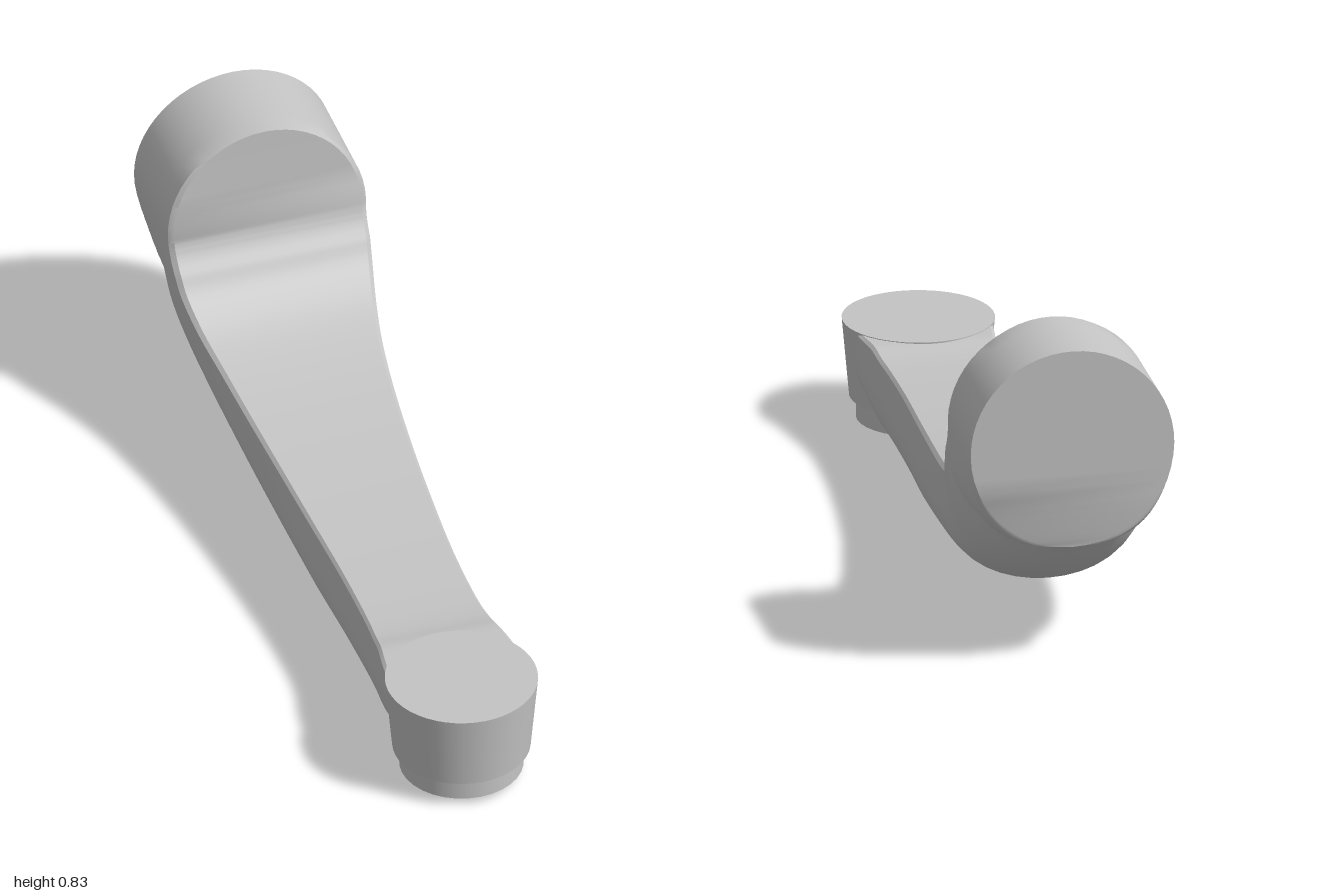
import * as THREE from 'three';
import { toCreasedNormals } from 'three/addons/utils/BufferGeometryUtils.js';

const R = 0.255, DISC_Y = 0.58, HEAD_Z = 0.81;

// Each station joins an inner (upper) edge point to an outer (lower) one:
// half-width, y, z for both edges, plus the squareness of the section
function makeStations() {
  const stations = [];
  const add = (inner, outer, p) => stations.push({ inner, outer, p });
  const V = (x, y, z) => new THREE.Vector3(x, y, z);

  // upper half of the round mount
  for (let i = 0; i <= 14; i++) {
    const a = (Math.PI / 2) * (1 - i / 14);
    const w = R * Math.cos(a), y = DISC_Y + R * Math.sin(a);
    add(V(w, y, -0.745 + 0.023 * (i / 14) ** 2), V(w, y, -1), 2.5);
  }
  // lower half of the mount, fanning towards the arm
  for (let i = 1; i <= 12; i++) {
    const t = i / 12, a = (Math.PI / 2) * t;
    add(V(R - 0.003 * t, DISC_Y - 0.08 * t, -0.722 + 0.042 * t * t),
      V(R * Math.cos(a), DISC_Y - R * Math.sin(a), -1), 2.5);
  }
  // arm: inner z, inner y, outer z, outer y, half-width
  const arm = [
    [-0.68, 0.5, -1, 0.325, 0.252], [-0.64, 0.45, -0.9, 0.24, 0.245],
    [-0.56, 0.395, -0.78, 0.17, 0.228], [-0.45, 0.355, -0.6, 0.105, 0.208],
    [-0.3, 0.322, -0.4, 0.06, 0.19], [-0.1, 0.295, -0.15, 0.025, 0.172],
    [0.1, 0.277, 0.1, 0.007, 0.158], [0.3, 0.266, 0.3, 0.003, 0.147],
    [0.48, 0.262, 0.48, 0.007, 0.145], [0.57, 0.266, 0.57, 0.014, 0.15],
    [0.63, 0.277, 0.62, 0.02, 0.156], [0.69, 0.278, 0.68, 0.05, 0.165],
    [0.76, 0.278, 0.74, 0.08, 0.172],
  ];
  const spline = (pts) => new THREE.CatmullRomCurve3(pts, false, 'catmullrom', 0.5);
  const inner = spline(arm.map((s) => V(s[4], s[1], s[0])));
  const outer = spline(arm.map((s) => V(0, s[3], s[2])));
  const steps = (arm.length - 1) * 4;
  for (let i = 1; i <= steps; i++) {
    const t = i / steps;
    add(inner.getPoint(t), outer.getPoint(t), 2.5 + 2.5 * Math.min(1, t * 2));
  }
  return stations;
}

// Half section: flat inner face, small bevel, rounded outer side
function sectionPoints({ inner, outer, p }) {
  const half = [[inner.x * 0.95, 0]];
  const N = 10;
  for (let i = 0; i <= N; i++) {
    const phi = (Math.PI / 2) * (i / N);
    const x = outer.x + (inner.x - outer.x) * Math.cos(phi);
    // evenly spread along the side, closing on the outer edge
    half.push([i === N ? outer.x : x, 0.03 + 0.97 * Math.sin(phi) ** (2 / p)]);
  }
  const at = (x, s) => [
    x,
    inner.y + (outer.y - inner.y) * s,
    inner.z + (outer.z - inner.z) * s,
  ];
  return [
    ...half.map(([x, s]) => at(x, s)),
    ...half.slice().reverse().map(([x, s]) => at(-x, s)),
  ];
}

function sweptBody() {
  const rings = makeStations().map(sectionPoints);
  const n = rings[0].length;
  const index = [];
  for (let r = 0; r < rings.length - 1; r++) {
    for (let k = 0; k < n; k++) {
      const a = r * n + k, b = r * n + ((k + 1) % n);
      index.push(a, a + n, b, b, a + n, b + n);
    }
  }
  const g = new THREE.BufferGeometry();
  g.setAttribute('position', new THREE.Float32BufferAttribute(rings.flat(2), 3));
  g.setIndex(index);
  return toCreasedNormals(g, 0.6);
}

export function createModel() {
  const group = new THREE.Group();
  group.name = 'curvedSpout';
  const metal = new THREE.MeshStandardMaterial({ color: 0xc4c4c4 });
  metal.name = 'satin grey';

  const part = (name, geometry, y = 0, z = 0) => {
    const mesh = new THREE.Mesh(geometry, metal);
    mesh.name = name;
    mesh.position.set(0, y, z);
    group.add(mesh);
  };

  // round wall mount flowing into the arm
  part('mountAndArm', sweptBody());
  // tapered outlet head and the nozzle below it
  part('outletHead', new THREE.CylinderGeometry(0.188, 0.17, 0.2, 48), 0.18, HEAD_Z);
  part('nozzle', new THREE.CylinderGeometry(0.153, 0.153, 0.068, 32), 0.056, HEAD_Z);
  return group;
}
